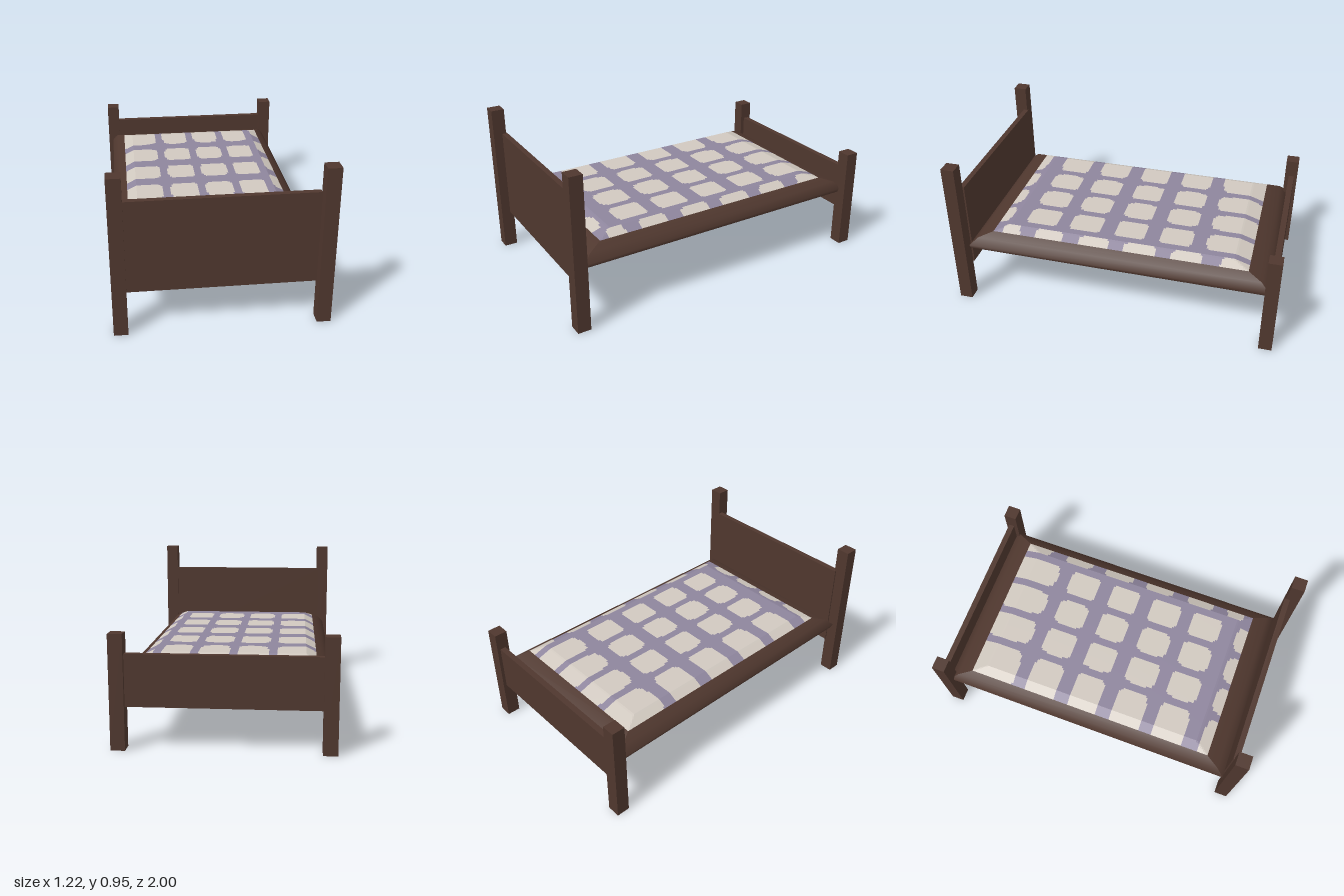
import * as THREE from 'three';

const wood = new THREE.MeshStandardMaterial({ color: 0x4f372e });
wood.name = 'dark wood';
const cream = new THREE.MeshStandardMaterial({ color: 0xd0c8bf });
cream.name = 'cream cloth';
const lavender = new THREE.MeshStandardMaterial({ color: 0x8e859d });
lavender.name = 'lavender cloth';

// Box given by its min and max corners
function box(name, [x0, y0, z0], [x1, y1, z1]) {
  const mesh = new THREE.Mesh(new THREE.BoxGeometry(x1 - x0, y1 - y0, z1 - z0), wood);
  mesh.position.set((x0 + x1) / 2, (y0 + y1) / 2, (z0 + z1) / 2);
  mesh.name = name;
  return mesh;
}

function meshFrom(name, positions, material, index) {
  const geo = new THREE.BufferGeometry();
  geo.setAttribute('position', new THREE.Float32BufferAttribute(positions, 3));
  if (index) geo.setIndex(index);
  geo.computeVertexNormals();
  const mesh = new THREE.Mesh(geo, material);
  mesh.name = name;
  return mesh;
}

// Bed base: rectangular rings of half width, half length and height
const RINGS = [[0.56, 0.925, 0.36], [0.57, 0.93, 0.385], [0.535, 0.88, 0.43], [0.4875, 0.795, 0.46]];
const TOP = { hx: 0.43, hz: 0.705, y: 0.49 };

function makeBase() {
  const group = new THREE.Group();
  group.name = 'bedBase';
  const corners = [[1, 1], [1, -1], [-1, -1], [-1, 1]];
  corners.forEach(([ax, az], s) => {
    const [bx, bz] = corners[(s + 1) % 4];
    const pos = [], index = [];
    RINGS.forEach(([hx, hz, y], i) => {
      pos.push(ax * hx, y, az * hz, bx * hx, y, bz * hz);
      if (i) {
        const a = 2 * (i - 1);
        index.push(a, a + 1, a + 3, a, a + 3, a + 2);
      }
    });
    group.add(meshFrom('baseSide', pos, wood, index));
  });
  const [hx, hz, y] = RINGS[0];
  const under = new THREE.Mesh(new THREE.PlaneGeometry(hx * 2, hz * 2).rotateX(Math.PI / 2), wood);
  under.position.y = y;
  under.name = 'underside';
  group.add(under);
  return group;
}

// Patch layout in model coordinates; the right border has staggered patches
const COLUMNS = [[-0.56, -0.275], [-0.225, -0.055], [-0.005, 0.16], [0.21, 0.375]];
const ROWS = [[-0.86, -0.535], [-0.445, -0.25], [-0.16, 0.03], [0.125, 0.32], [0.405, 0.6], [0.715, 0.9]];
const EDGE_COLUMN = [0.42, 0.6];
const EDGE_ROWS = [[-0.84, -0.64], [-0.53, -0.345], [-0.25, -0.05], [0.04, 0.23], [0.33, 0.515], [0.61, 0.72]];

function isPatch(x, z) {
  const inside = ([x0, x1], [z0, z1]) => {
    const u = Math.abs(2 * x - x0 - x1) / (x1 - x0);
    const v = Math.abs(2 * z - z0 - z1) / (z1 - z0);
    return u ** 6 + v ** 6 < 1;
  };
  return COLUMNS.some(c => ROWS.some(r => inside(c, r))) || EDGE_ROWS.some(r => inside(EDGE_COLUMN, r));
}

// Quilt: a fine grid with sloping borders, each cell given to one cloth
function makeQuilt(cx, cz) {
  const [hx, hz, edgeY] = RINGS[3];
  const nx = 84, nz = 136;
  const drop = TOP.y - edgeY;
  const point = (i, j) => {
    const x = -hx + (2 * hx * i) / nx, z = -hz + (2 * hz * j) / nz;
    const t = Math.max(0, (Math.abs(x) - TOP.hx) / (hx - TOP.hx), (Math.abs(z) - TOP.hz) / (hz - TOP.hz));
    return [x, TOP.y - drop * t, z];
  };
  const patches = [], ground = [];
  for (let i = 0; i < nx; i++) {
    for (let j = 0; j < nz; j++) {
      const a = point(i, j), b = point(i, j + 1), c = point(i + 1, j + 1), d = point(i + 1, j);
      const list = isPatch((a[0] + c[0]) / 2 + cx, (a[2] + c[2]) / 2 + cz) ? patches : ground;
      list.push(...a, ...b, ...c, ...a, ...c, ...d);
    }
  }
  const group = new THREE.Group();
  group.name = 'quilt';
  group.add(meshFrom('quiltPatches', patches, cream), meshFrom('quiltGround', ground, lavender));
  return group;
}

export function createModel() {
  const bed = new THREE.Group();
  bed.name = 'bed';

  // Corner posts: tall at the front, short at the back
  for (const side of [-1, 1]) {
    const x0 = side < 0 ? -0.61 : 0.53;
    bed.add(box('headPost', [x0, 0, 0.92], [x0 + 0.08, 0.95, 1]));
    bed.add(box('footPost', [x0, 0, -1], [x0 + 0.08, 0.64, -0.92]));
  }

  // End boards
  bed.add(box('headboard', [-0.54, 0.24, 0.912], [0.527, 0.79, 0.945]));
  bed.add(box('footboard', [-0.54, 0.24, -0.98], [0.535, 0.53, -0.945]));

  // Base and quilt sit slightly off centre
  const cx = -0.01, cz = -0.015;
  const bedding = new THREE.Group();
  bedding.name = 'bedding';
  bedding.add(makeBase(), makeQuilt(cx, cz));
  bedding.position.set(cx, 0, cz);
  bed.add(bedding);
  return bed;
}
